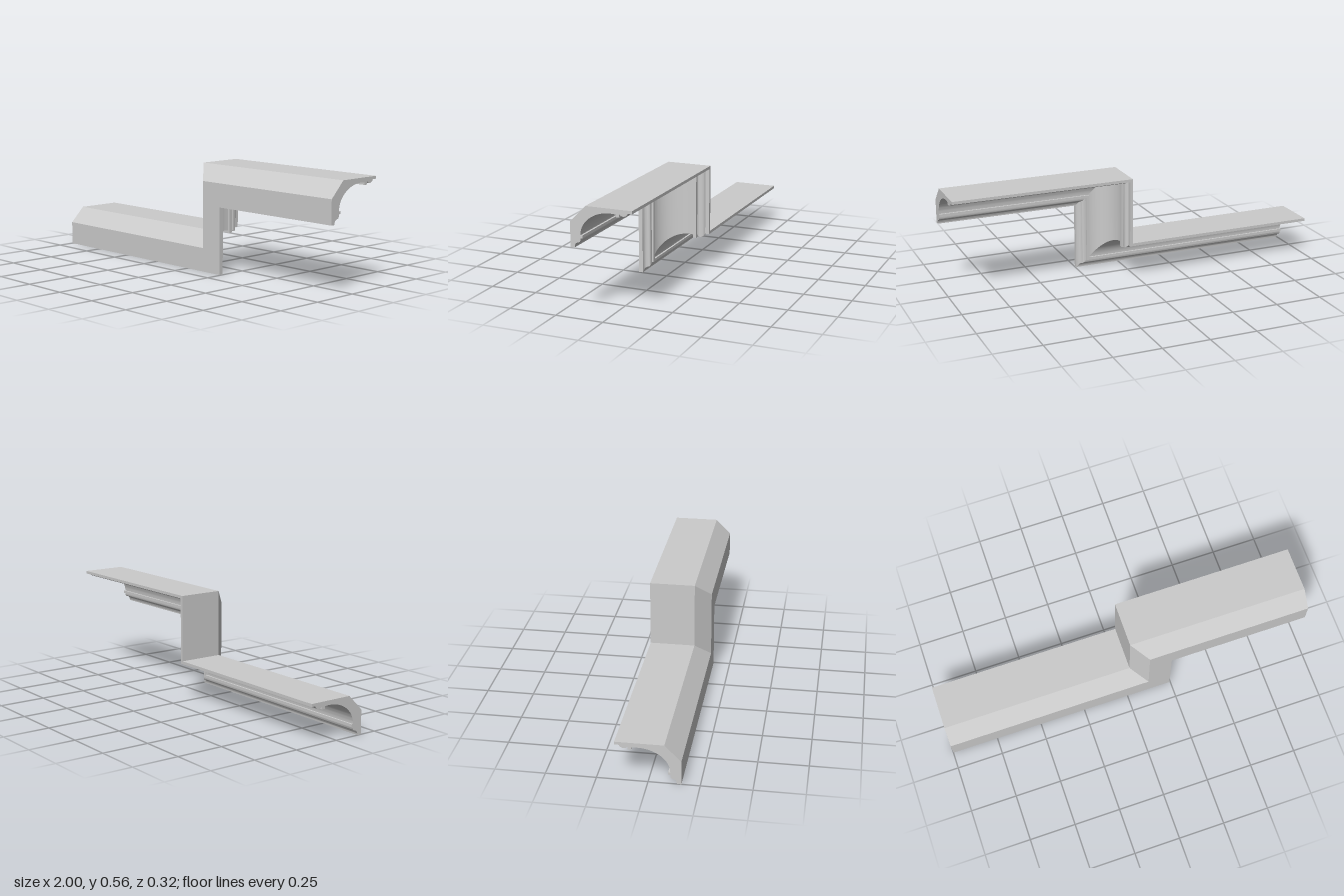
import * as THREE from 'three';
import { toCreasedNormals } from 'three/addons/utils/BufferGeometryUtils.js';

const TOP = 0.56, STEP = 0.353, STEP_X = 0.038;
const V = (z, y) => new THREE.Vector2(-z, y);
const spline = (pts, n) => new THREE.SplineCurve(pts.map(([z, y]) => V(z, y))).getPoints(n);

// Cross-section of the cornice at the upper run, as (-z, y), counter-clockwise from +x
function cornicePoints() {
  const ogee = spline([[0.138, 0.358], [0.135, 0.368], [0.129, 0.375], [0.122, 0.379],
    [0.114, 0.381], [0.109, 0.386], [0.107, 0.393]], 18);
  const bead = spline([[-0.095, 0.538], [-0.101, 0.533], [-0.108, 0.53], [-0.115, 0.529],
    [-0.125, 0.531], [-0.132, 0.536], [-0.136, 0.541], [-0.138, 0.545]], 18);
  // elliptical cove between the two small mouldings
  const cove = [];
  const end = Math.PI / 2 + Math.asin(0.027 / 0.157);
  for (let i = 0; i <= 32; i++) {
    const a = end * i / 32;
    cove.push(V(-0.05 + 0.157 * Math.cos(a), 0.415 + 0.122 * Math.sin(a)));
  }
  return [
    V(-0.16, TOP), V(0.079, TOP), V(0.16, 0.478), V(0.16, 0.353), V(0.138, 0.353),
    ...ogee,
    V(0.107, 0.401), V(0.097, 0.401), V(0.097, 0.415),
    ...cove,
    V(-0.077, 0.523), V(-0.095, 0.523),
    ...bead,
    V(-0.16, 0.545),
  ];
}

// Path stations: two run ends and two mitred corners
const stations = [
  p => [-1, p.y - STEP, -p.x],
  p => [STEP_X + TOP - p.y, p.y - STEP, -p.x],
  p => [STEP_X + TOP - p.y, p.y, -p.x],
  p => [1, p.y, -p.x],
];

function geometryFrom(positions) {
  const g = new THREE.BufferGeometry();
  g.setAttribute('position', new THREE.Float32BufferAttribute(positions, 3));
  g.computeVertexNormals();
  return toCreasedNormals(g, 0.5);
}

// One straight leg of the moulding between neighbouring stations
function legGeometry(pts, from, to) {
  const out = [];
  pts.forEach((a, i) => {
    const b = pts[(i + 1) % pts.length];
    out.push(...from(a), ...from(b), ...to(a), ...from(b), ...to(b), ...to(a));
  });
  return geometryFrom(out);
}

function capGeometry(pts, station, flip) {
  const out = [];
  for (const [a, b, c] of THREE.ShapeUtils.triangulateShape(pts, [])) {
    for (const k of flip ? [a, c, b] : [a, b, c]) out.push(...station(pts[k]));
  }
  return geometryFrom(out);
}

export function createModel() {
  const group = new THREE.Group();
  group.name = 'steppedCornice';
  const material = new THREE.MeshStandardMaterial({ color: 0xcccccc });
  const add = (name, geometry) => {
    const mesh = new THREE.Mesh(geometry, material);
    mesh.name = name;
    group.add(mesh);
  };
  const pts = cornicePoints();

  // Lower run, riser and upper run meet at the mitres
  ['lowerRun', 'riser', 'upperRun'].forEach((name, i) =>
    add(name, legGeometry(pts, stations[i], stations[i + 1])));

  // Flat ends
  add('lowerEndCap', capGeometry(pts, stations[0], true));
  add('upperEndCap', capGeometry(pts, stations[3], false));
  return group;
}
